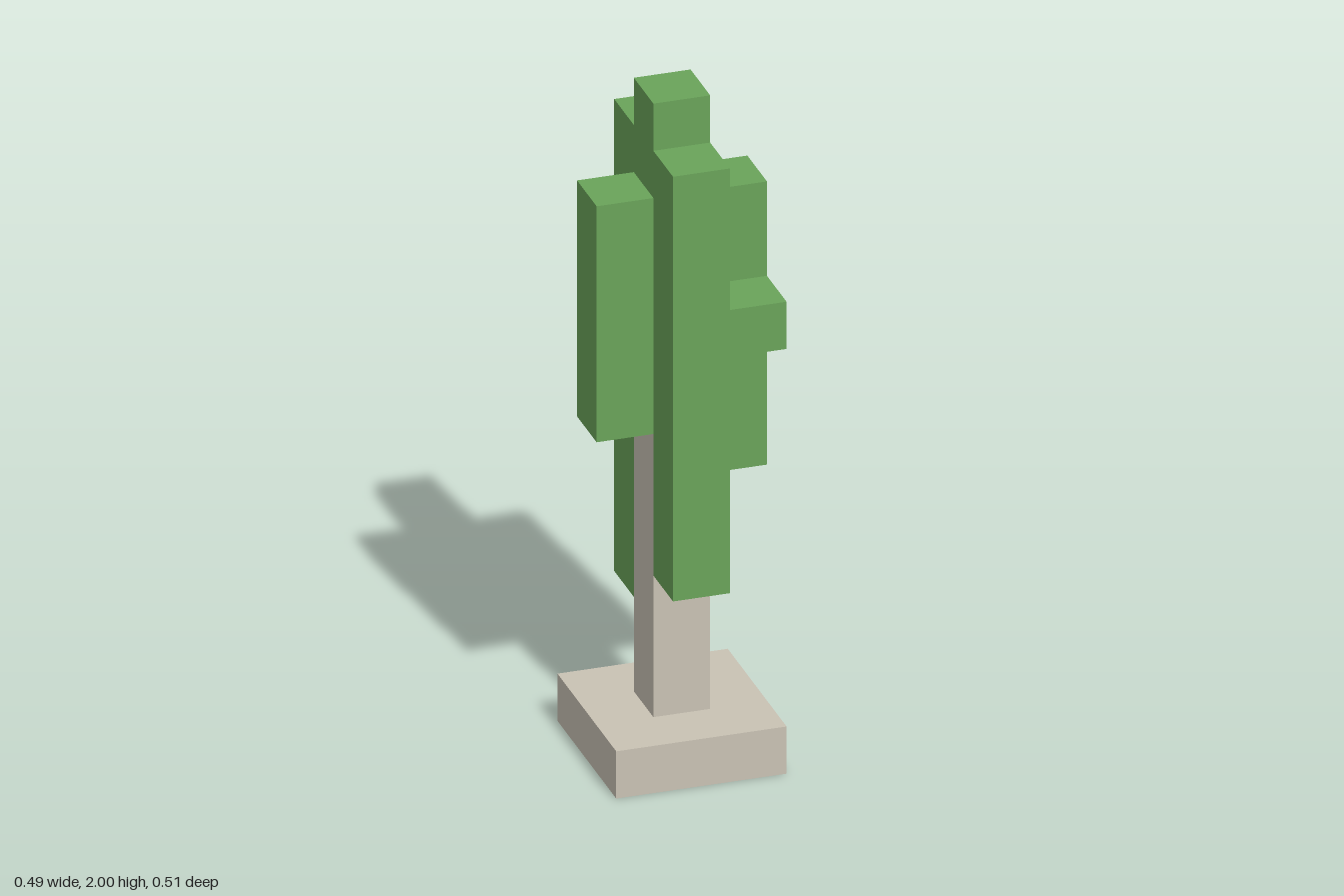
import * as THREE from 'three';

// Size of one grid cell in each direction; the model is 3 x 14 x 3 cells
const CELL = { x: 0.1627, y: 2 / 14, z: 0.169 };

export function createModel() {
  const group = new THREE.Group();
  const leafGreen = new THREE.MeshStandardMaterial({ color: 0x6aa45a });
  leafGreen.name = 'leafGreen';
  const paleStone = new THREE.MeshStandardMaterial({ color: 0xc9c2b4 });
  paleStone.name = 'paleStone';

  // Block centred on cell (ix, iz), from row y0 up to row y1, `span` cells wide
  function block(name, material, ix, iz, y0, y1, span = 1) {
    const geometry = new THREE.BoxGeometry(span * CELL.x, (y1 - y0) * CELL.y, span * CELL.z);
    const mesh = new THREE.Mesh(geometry, material);
    mesh.name = name;
    mesh.position.set(ix * CELL.x, ((y0 + y1) / 2) * CELL.y, iz * CELL.z);
    group.add(mesh);
  }

  // Square base and trunk
  block('base', paleStone, 0, 0, 0, 1, 3);
  block('trunk', paleStone, 0, 0, 1, 12);

  // Foliage columns around the trunk, each of its own height
  block('crown', leafGreen, 0, 0, 12, 14);
  block('frontFoliage', leafGreen, 0, 1, 4, 13);
  block('backFoliage', leafGreen, 0, -1, 3, 13);
  block('leftFoliage', leafGreen, 1, 0, 6, 12);
  block('rightFoliage', leafGreen, -1, 0, 7, 12);

  // Single tuft in the front left corner
  block('cornerTuft', leafGreen, 1, 1, 9, 10);

  return group;
}
